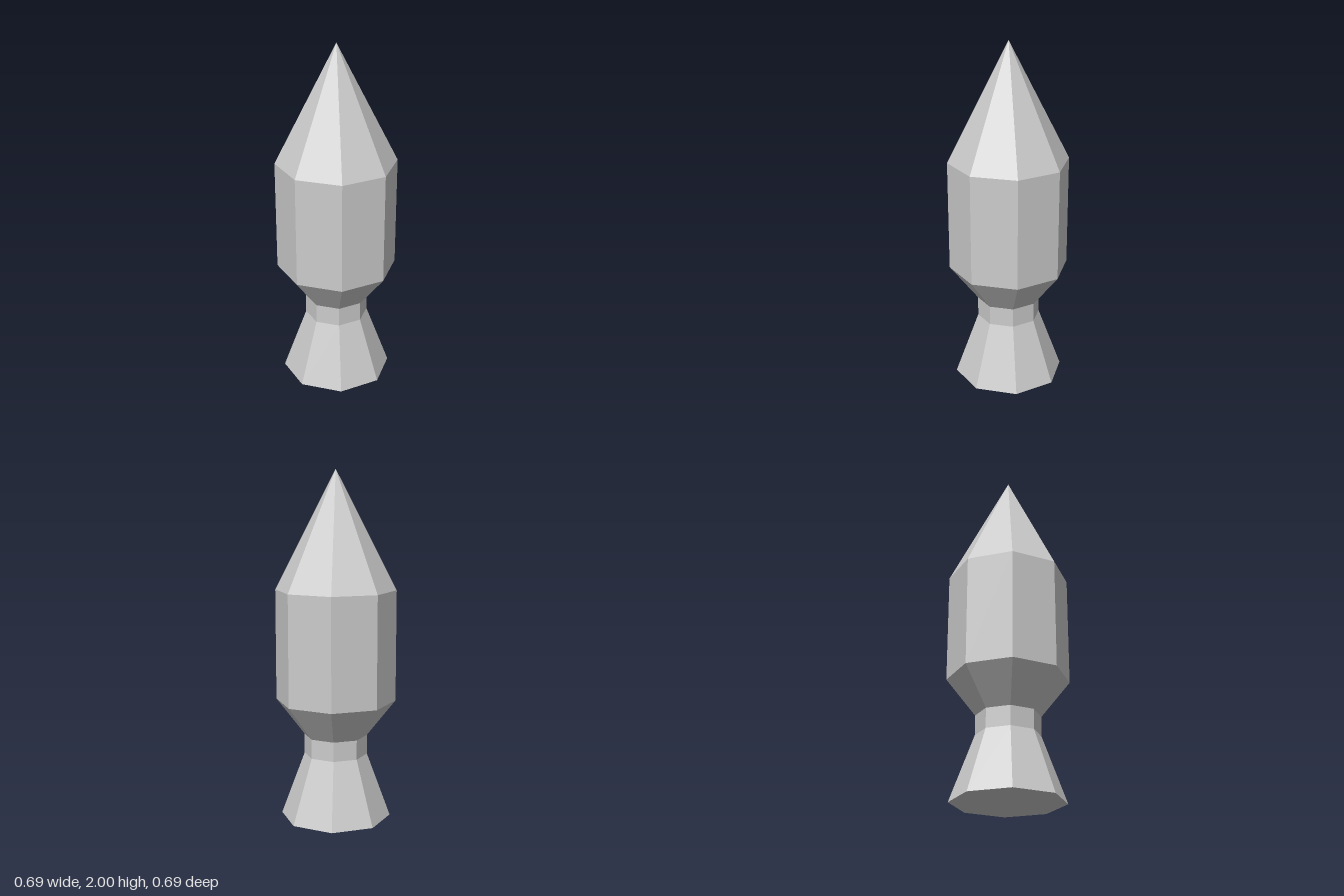
import * as THREE from 'three';

const SIDES = 8;

export function createModel() {
  const group = new THREE.Group();
  const material = new THREE.MeshStandardMaterial({ color: 0xcccccc, flatShading: true });

  // Eight-sided section between two heights, open where it meets its neighbours
  function section(name, y0, r0, y1, r1) {
    const geometry = r1 === 0
      ? new THREE.ConeGeometry(r0, y1 - y0, SIDES, 1, true)
      : new THREE.CylinderGeometry(r1, r0, y1 - y0, SIDES, 1, true);
    const mesh = new THREE.Mesh(geometry, material);
    mesh.name = name;
    mesh.position.y = (y0 + y1) / 2;
    group.add(mesh);
  }

  section('nozzle', 0, 0.318, 0.37, 0.182);
  section('neck', 0.37, 0.182, 0.483, 0.182);
  section('shoulder', 0.483, 0.182, 0.69, 0.345);
  section('body', 0.69, 0.345, 1.327, 0.345);
  section('noseCone', 1.327, 0.345, 2, 0);

  // Flat underside, facing down, with corners on the axes
  const base = new THREE.Mesh(new THREE.CircleGeometry(0.318, SIDES), material);
  base.name = 'base';
  base.rotation.x = Math.PI / 2;
  group.add(base);

  return group;
}
